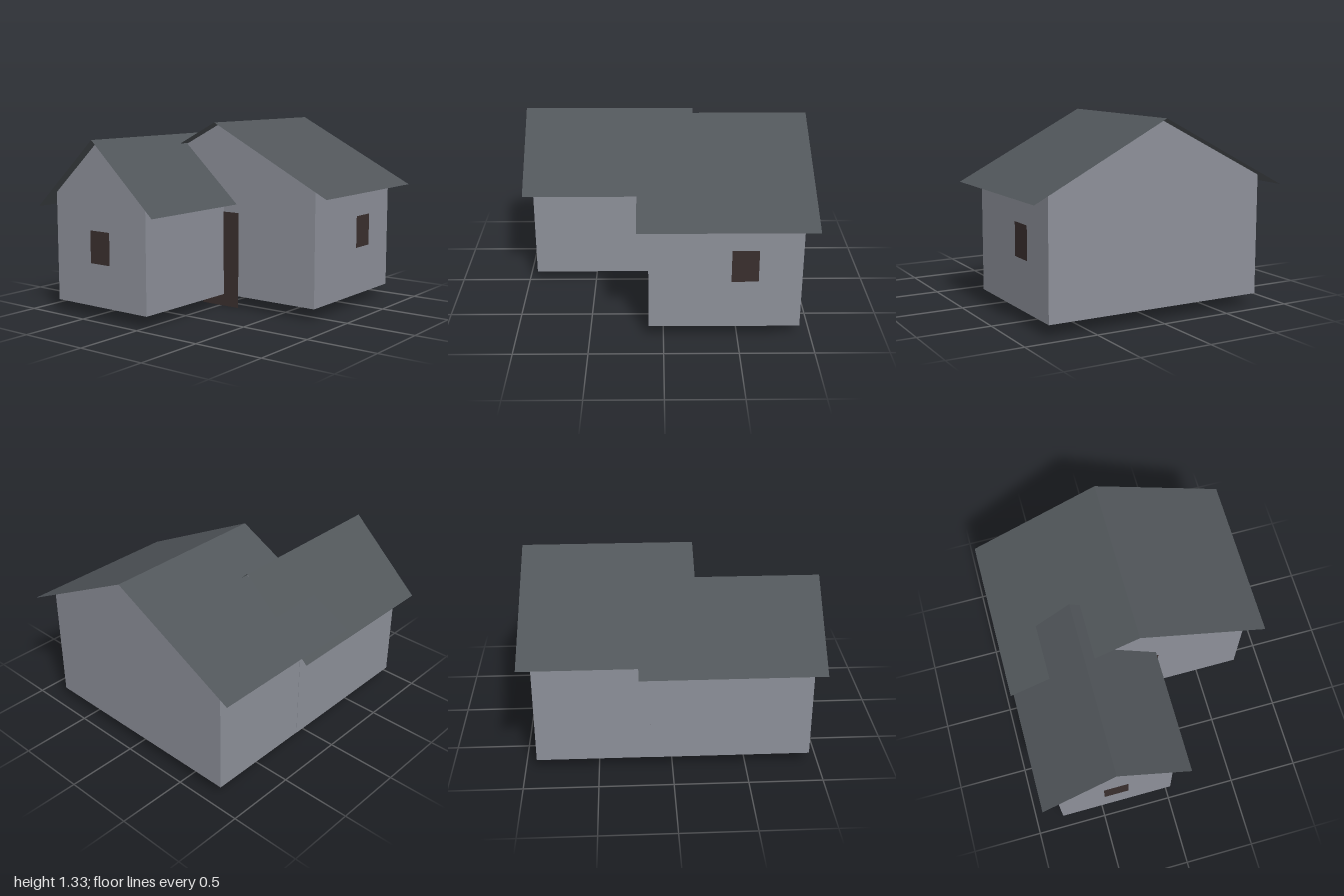
import * as THREE from 'three';

const material = (name, color) => {
  const m = new THREE.MeshStandardMaterial({ color, side: THREE.DoubleSide });
  m.name = name;
  return m;
};

// Open sheet: a profile of [x, y] points swept along z, with flat facets
function sheet(profile, zBack, zFront) {
  const pos = [];
  for (let i = 0; i < profile.length - 1; i++) {
    const [ax, ay] = profile[i], [bx, by] = profile[i + 1];
    pos.push(ax, ay, zFront, bx, by, zFront, bx, by, zBack);
    pos.push(ax, ay, zFront, bx, by, zBack, ax, ay, zBack);
  }
  const g = new THREE.BufferGeometry();
  g.setAttribute('position', new THREE.Float32BufferAttribute(pos, 3));
  g.computeVertexNormals();
  return g;
}

export function createModel() {
  const model = new THREE.Group();
  model.name = 'house';
  const wall = material('grey wall', 0x8d9099);
  const roof = material('slate roof', 0x51565a);
  const wood = material('dark brown', 0x3a2f2e);

  const add = (parent, name, geometry, mat) => {
    const mesh = new THREE.Mesh(geometry, mat);
    mesh.name = name;
    parent.add(mesh);
    return mesh;
  };

  // One gabled block: open-bottomed walls and a thin overhanging roof
  function block(name, b) {
    const group = new THREE.Group();
    group.name = name;
    const l = b.x - b.half, r = b.x + b.half;
    add(group, 'leftAndRightWalls', sheet([[l, b.base], [l, b.top]], b.back, b.front), wall);
    add(group, 'sideWall', sheet([[r, b.top], [r, b.base]], b.back, b.front), wall);
    const gable = new THREE.ShapeGeometry(new THREE.Shape(
      [[l, b.base], [r, b.base], [r, b.top], [b.x, b.peak], [l, b.top]]
        .map(([x, y]) => new THREE.Vector2(x, y))));
    add(group, 'frontGable', gable, wall).position.z = b.front;
    const rear = add(group, 'backGable', gable, wall);
    rear.rotation.y = Math.PI;
    rear.position.set(2 * b.x, 0, b.back);
    add(group, 'roof', sheet(
      [[b.x - b.roofHalf, b.eave], [b.x, b.ridge], [b.x + b.roofHalf, b.eave]],
      b.roofBack, b.roofFront), roof);
    group.children[0].name = 'rightWall';
    group.children[1].name = 'leftWall';
    model.add(group);
  }

  block('mainHouse', {
    x: 0, half: 0.798, base: 0.085, top: 0.915, peak: 1.32, back: -0.92, front: 0.10,
    roofHalf: 0.93, eave: 0.85, ridge: 1.328, roofBack: -1, roofFront: 0.175,
  });
  block('frontWing', {
    x: -0.385, half: 0.415, base: 0.085, top: 0.85, peak: 1.225, back: -0.15, front: 0.935,
    roofHalf: 0.528, eave: 0.75, ridge: 1.232, roofBack: -0.225, roofFront: 1,
  });

  // Door and windows as thin panels
  add(model, 'door', new THREE.PlaneGeometry(0.322, 0.69), wood).position.set(0, 0.345, 0.105);
  add(model, 'frontWindow', new THREE.PlaneGeometry(0.178, 0.227), wood).position.set(-0.383, 0.498, 0.94);
  const side = add(model, 'sideWindow', new THREE.PlaneGeometry(0.18, 0.23), wood);
  side.rotation.y = Math.PI / 2;
  side.position.set(0.803, 0.545, -0.54);

  return model;
}
